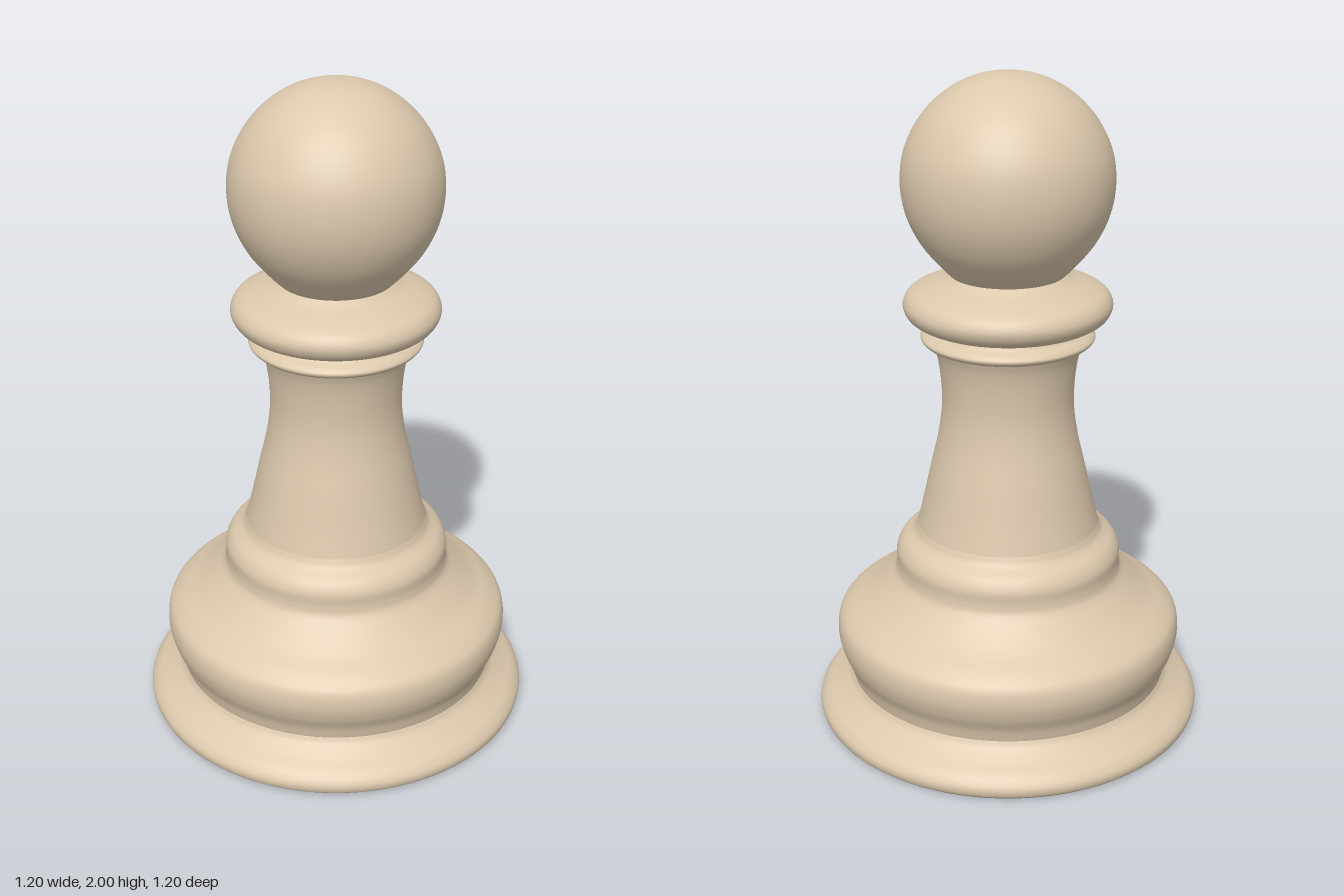
import * as THREE from 'three';

const wood = new THREE.MeshStandardMaterial({ color: 0xdcc9ad });
wood.name = 'pale wood';

// Turned part: a smooth curve through [radius, height] points, spun about y
function turned(name, points, samples) {
  const curve = new THREE.CatmullRomCurve3(
    points.map(([r, y]) => new THREE.Vector3(r, y, 0)), false, 'centripetal');
  const profile = curve.getPoints(samples)
    .map((p) => new THREE.Vector2(Math.max(p.x, 0), p.y));
  const mesh = new THREE.Mesh(new THREE.LatheGeometry(profile, 96), wood);
  mesh.name = name;
  return mesh;
}

export function createModel() {
  const pawn = new THREE.Group();
  pawn.name = 'pawn';

  // Flat underside
  const underside = new THREE.Mesh(new THREE.CircleGeometry(0.585, 96), wood);
  underside.name = 'underside';
  underside.rotation.x = Math.PI / 2;
  pawn.add(underside);

  pawn.add(
    // Flared foot
    turned('foot', [[0.585, 0], [0.597, 0.012], [0.6, 0.035], [0.582, 0.062],
      [0.54, 0.09], [0.505, 0.118], [0.495, 0.135]], 36),
    // Bulging base with its stepped shoulder
    turned('base', [[0.495, 0.135], [0.505, 0.175], [0.525, 0.22], [0.536, 0.27],
      [0.528, 0.32], [0.495, 0.353], [0.44, 0.388], [0.385, 0.435], [0.352, 0.472],
      [0.346, 0.5], [0.345, 0.54], [0.328, 0.572], [0.29, 0.602], [0.278, 0.625]], 80),
    // Tapering stem
    turned('stem', [[0.278, 0.625], [0.262, 0.69], [0.235, 0.81], [0.21, 0.92],
      [0.199, 1.01], [0.202, 1.1], [0.213, 1.17], [0.225, 1.205]], 40),
    // Thin ring under the collar
    turned('ring', [[0.225, 1.205], [0.25, 1.211], [0.26, 1.225], [0.25, 1.238],
      [0.228, 1.25], [0.222, 1.26]], 30),
    // Wide rounded collar
    turned('collar', [[0.222, 1.26], [0.262, 1.271], [0.297, 1.292], [0.31, 1.325],
      [0.295, 1.357], [0.25, 1.381], [0.195, 1.4], [0.17, 1.415]], 40),
    // Ball head
    turned('head', [[0.17, 1.415], [0.2, 1.445], [0.26, 1.52], [0.298, 1.605],
      [0.31, 1.695], [0.296, 1.785], [0.245, 1.88], [0.165, 1.953], [0.08, 1.99],
      [0, 2]], 64),
  );
  return pawn;
}
